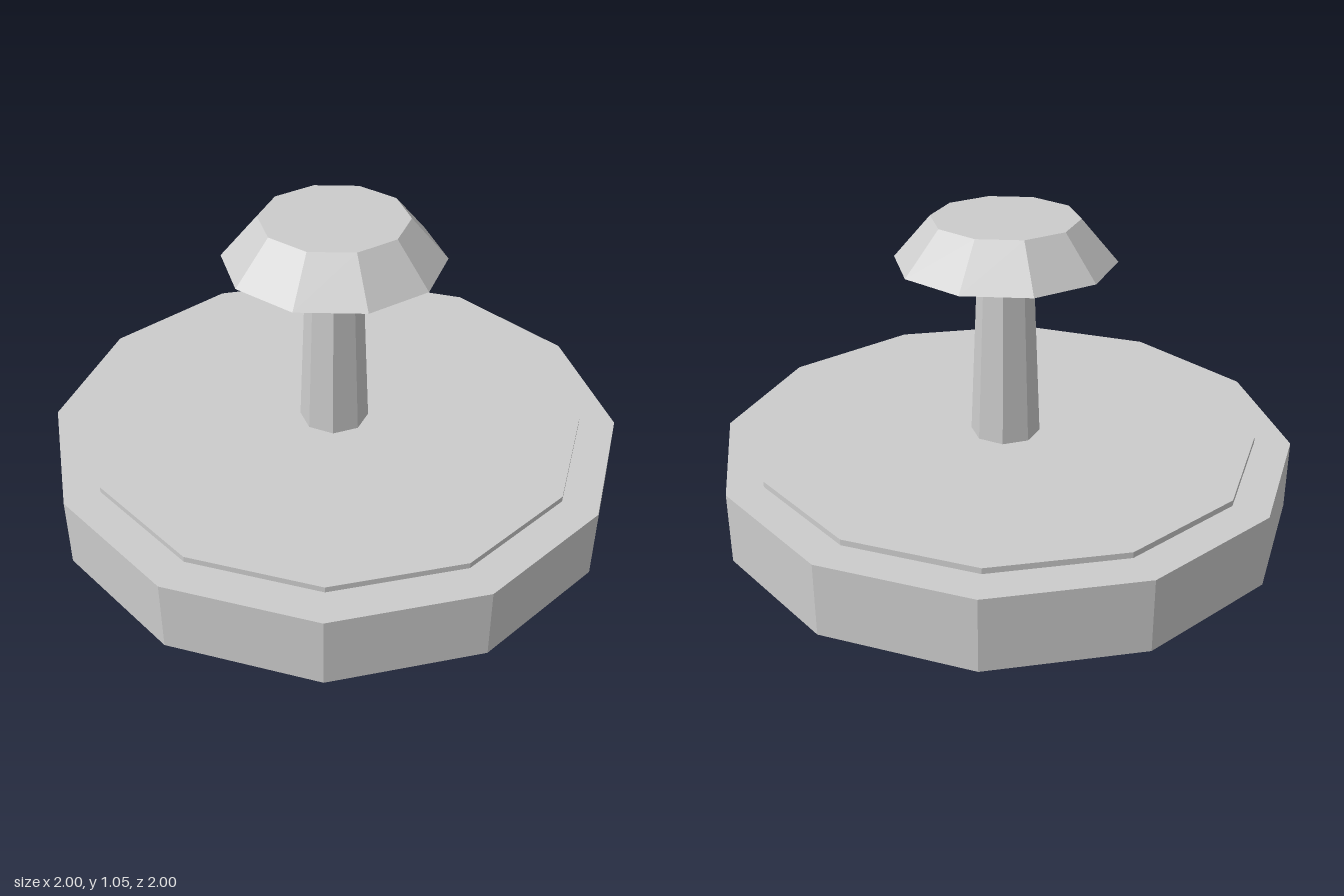
import * as THREE from 'three';

export function createModel() {
  const group = new THREE.Group();
  group.name = 'domedButtonOnPlate';
  const grey = new THREE.MeshStandardMaterial({ color: 0xcccccc, flatShading: true });
  grey.name = 'light grey';

  // Faceted drum or cone frustum standing between two heights
  function frustum(name, rTop, rBottom, y0, y1, sides, turn = 0) {
    const geometry = new THREE.CylinderGeometry(rTop, rBottom, y1 - y0, sides);
    geometry.rotateY(turn).translate(0, (y0 + y1) / 2, 0);
    const mesh = new THREE.Mesh(geometry, grey);
    mesh.name = name;
    group.add(mesh);
  }

  // Twelve-sided base with a thin raised disc
  frustum('base', 1, 1, 0, 0.25, 12);
  frustum('raisedDisc', 0.875, 0.875, 0.25, 0.27, 12);
  // Tapered eight-sided stem
  frustum('stem', 0.094, 0.122, 0.25, 0.905, 8);
  // Ten-sided bevelled knob, corners on the x axis
  frustum('knob', 0.25, 0.375, 0.905, 1.05, 10, Math.PI / 2);

  return group;
}
